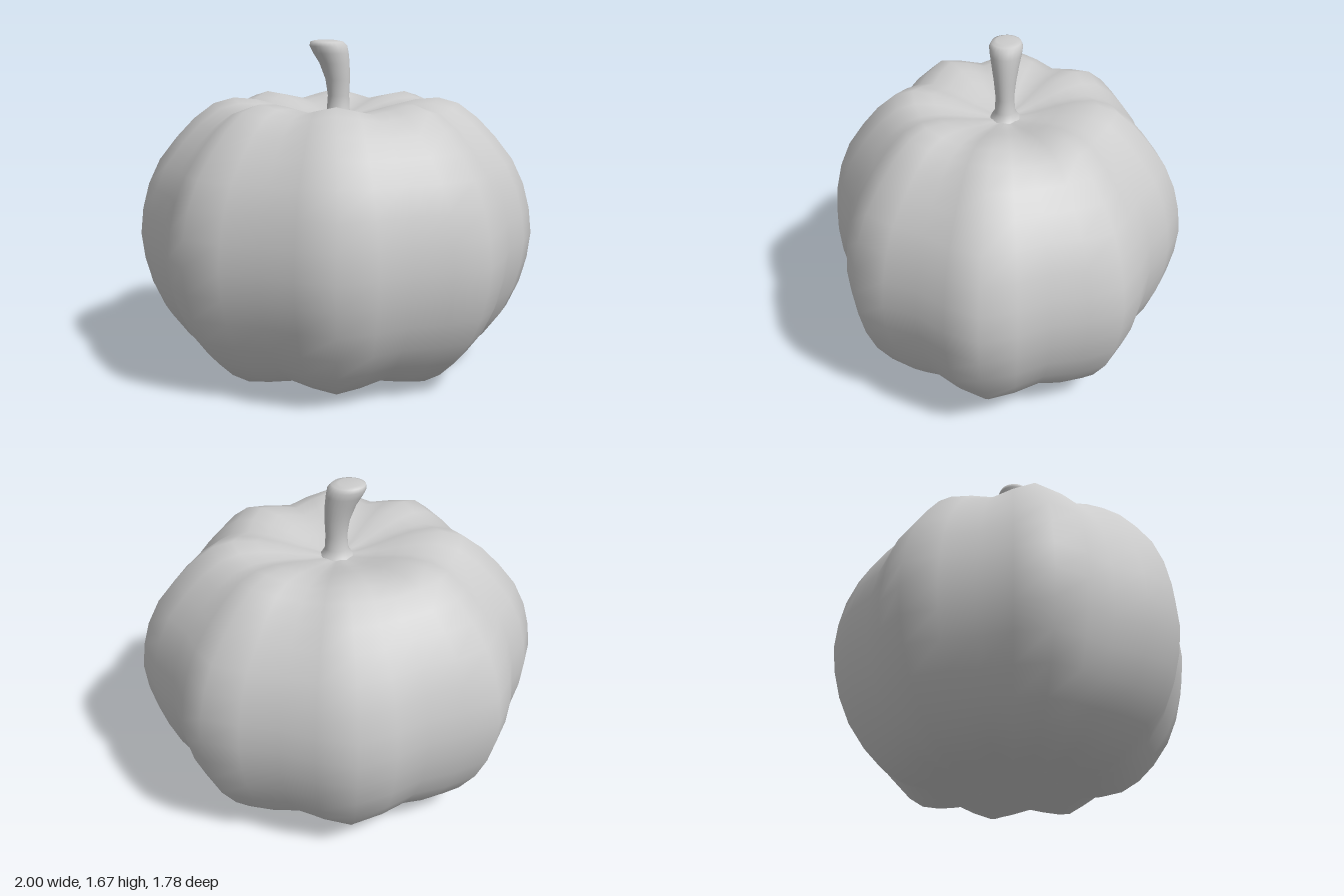
import * as THREE from 'three';
import { mergeVertices } from 'three/addons/utils/BufferGeometryUtils.js';

const SIDES = 32;
const LOBES = 8;

// Smooth skin over closed rings listed bottom to top; point(ring, angle) gives [x, y, z].
function loft(rings, sides, point) {
  const positions = [];
  const index = [];
  rings.forEach((ring, j) => {
    for (let i = 0; i < sides; i++) {
      positions.push(...point(ring, (i / sides) * Math.PI * 2));
      if (j === rings.length - 1) continue;
      const a = j * sides + i;
      const b = j * sides + ((i + 1) % sides);
      index.push(a, a + sides, b, b, a + sides, b + sides);
    }
  });
  const geometry = new THREE.BufferGeometry();
  geometry.setAttribute('position', new THREE.Float32BufferAttribute(positions, 3));
  geometry.setIndex(index);
  const merged = mergeVertices(geometry, 1e-5); // closes the poles
  merged.computeVertexNormals();
  return merged;
}

// Body outline along a lobe crest: [radius, y], from underside dimple to top dish
const BODY = [
  [0, 0.08], [0.12, 0.07], [0.25, 0.04], [0.37, 0.012], [0.49, 0.005], [0.61, 0.035],
  [0.71, 0.095], [0.8, 0.18], [0.89, 0.3], [0.95, 0.43], [0.985, 0.56], [1, 0.69],
  [0.985, 0.82], [0.95, 0.95], [0.89, 1.075], [0.8, 1.19], [0.71, 1.285], [0.61, 1.36],
  [0.51, 1.388], [0.4, 1.38], [0.3, 1.355], [0.2, 1.325], [0.1, 1.3], [0, 1.29],
];

function bodyPoint([radius, y], angle) {
  const groove = (1 - Math.cos(LOBES * angle)) / 2;
  const r = radius * (1 - 0.09 * groove);
  const t = (y - 0.69) / 0.7; // -1 at the base, 1 at the rim
  const x = r * Math.cos(angle);
  const z = 0.89 * r * Math.sin(angle);
  // grooves also sink into the top and underside, fading toward the centre
  const sink = 0.042 * groove * t ** 3 * Math.min(1, radius / 0.45);
  const tilt = 0.03 * z * Math.max(0, t);
  return [x, y - sink + tilt, z];
}

// Stem rings: [centre x, y, half width in x, half width in z]
const STEM = [
  [0.01, 1.27, 0.1, 0.09], [0.01, 1.3, 0.075, 0.068], [0.011, 1.33, 0.057, 0.05],
  [0.012, 1.4, 0.053, 0.045], [0.008, 1.48, 0.061, 0.053], [-0.008, 1.56, 0.075, 0.066],
  [-0.026, 1.61, 0.088, 0.076], [-0.038, 1.645, 0.093, 0.081],
  [-0.046, 1.664, 0.081, 0.071], [-0.052, 1.67, 0.055, 0.05], [-0.055, 1.671, 0, 0],
];

function stemPoint([cx, y, rx, rz], angle) {
  return [cx + rx * Math.cos(angle), y, rz * Math.sin(angle)];
}

export function createModel() {
  const group = new THREE.Group();
  group.name = 'pumpkin';
  const material = new THREE.MeshStandardMaterial({ color: 0xcccccc });

  const body = new THREE.Mesh(loft(BODY, SIDES, bodyPoint), material);
  body.name = 'body';
  const stem = new THREE.Mesh(loft(STEM, 24, stemPoint), material);
  stem.name = 'stem';

  group.add(body, stem);
  return group;
}
